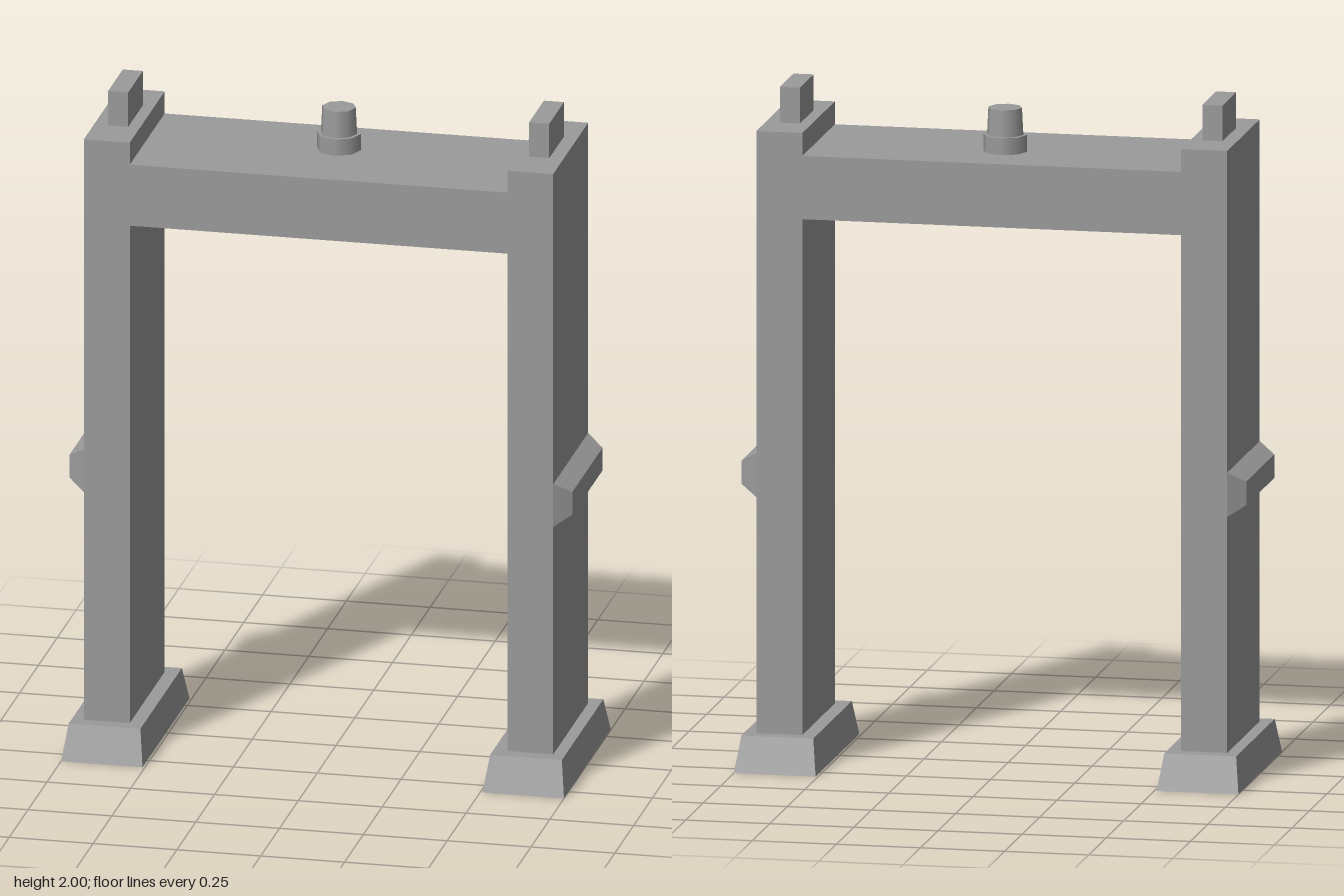
import * as THREE from 'three';

const flat = new THREE.MeshStandardMaterial({ color: 0x9b9b9b, flatShading: true });
const smooth = new THREE.MeshStandardMaterial({ color: 0x9b9b9b });

function add(parent, name, geometry, material, x = 0, y = 0, z = 0) {
  const mesh = new THREE.Mesh(geometry, material);
  mesh.name = name;
  mesh.position.set(x, y, z);
  parent.add(mesh);
}

// Box standing on y = 0 whose top face is resized to topW x topD
function taperedBox(w, h, d, topW, topD) {
  const g = new THREE.BoxGeometry(w, h, d).translate(0, h / 2, 0);
  const p = g.attributes.position;
  for (let i = 0; i < p.count; i++) {
    if (p.getY(i) > h / 2) {
      p.setX(i, p.getX(i) * topW / w);
      p.setZ(i, p.getZ(i) * topD / d);
    }
  }
  g.computeVertexNormals();
  return g;
}

export function createModel() {
  const model = new THREE.Group();
  model.name = 'gateway';

  // Posts and lintel share one arch outline
  const outline = [
    [-0.7, 0.1], [-0.563, 0.1], [-0.563, 1.638], [0.563, 1.638], [0.563, 0.1], [0.7, 0.1],
    [0.7, 1.894], [0.563, 1.894], [0.563, 1.826], [-0.563, 1.826], [-0.563, 1.894], [-0.7, 1.894],
  ].map(([x, y]) => new THREE.Vector2(x, y));
  const arch = new THREE.ExtrudeGeometry(new THREE.Shape(outline), { depth: 0.464, bevelEnabled: false });
  add(model, 'archFrame', arch, flat, 0, 0, -0.232);

  for (const [side, s] of [['left', 1], ['right', -1]]) {
    // Sloped foot
    add(model, side + 'Foot', taperedBox(0.243, 0.105, 0.624, 0.214, 0.55), flat, s * 0.6285);

    // Block on top of the post
    add(model, side + 'TopBlock', new THREE.BoxGeometry(0.06, 0.108, 0.196), flat, s * 0.628, 1.946);

    // Bevelled bumper on the outer face
    const bumper = taperedBox(0.132, 0.05, 0.464, 0.07, 0.4).rotateZ(-s * Math.PI / 2);
    add(model, side + 'Bumper', bumper, flat, s * 0.7, 0.872);
  }

  // Beacon on the lintel: straight collar and tapered lamp
  const beacon = new THREE.Group();
  beacon.name = 'beacon';
  beacon.position.set(0, 1.826, -0.04);
  add(beacon, 'beaconCollar', new THREE.CylinderGeometry(0.065, 0.065, 0.05, 8), smooth, 0, 0.025);
  add(beacon, 'beaconLamp', new THREE.CylinderGeometry(0.05, 0.054, 0.08, 8), smooth, 0, 0.09);
  model.add(beacon);

  return model;
}
